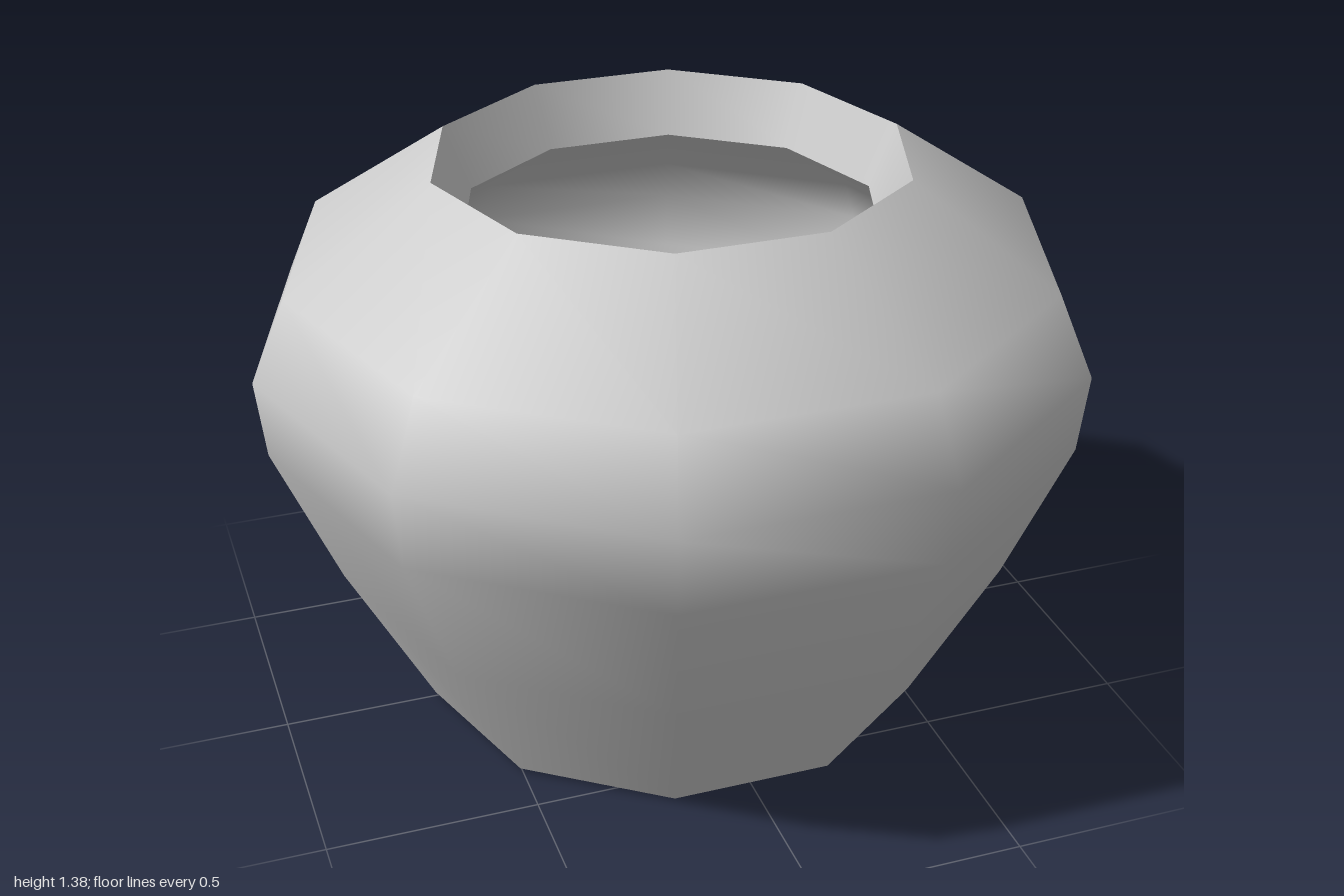
import * as THREE from 'three';

const SIDES = 10;
const material = new THREE.MeshStandardMaterial({ color: 0xcccccc });

// Turn a [radius, height] profile into a ten-sided shell with a corner on +x.
function turned(name, profile) {
  const points = profile.map(([r, y]) => new THREE.Vector2(r, y));
  const mesh = new THREE.Mesh(new THREE.LatheGeometry(points, SIDES, Math.PI / 2), material);
  mesh.name = name;
  return mesh;
}

export function createModel() {
  const pot = new THREE.Group();
  pot.name = 'pot';
  pot.add(
    // Underside, with a barely raised outer band
    turned('base', [[0, 0], [0.4, 0], [0.625, 0.01]]),
    // Smooth swelling body up to the sharp rim
    turned('outerWall', [[0.625, 0.01], [0.83, 0.4], [0.98, 0.76], [1, 0.95], [0.915, 1.145], [0.565, 1.38]]),
    // Sloping lip through the wall thickness
    turned('lip', [[0.565, 1.38], [0.5, 1.23]]),
    // Hollow interior following the body
    turned('innerWall', [[0.5, 1.23], [0.8, 1.03], [0.85, 0.92], [0.83, 0.78], [0.69, 0.44], [0.53, 0.14]]),
    turned('innerFloor', [[0.53, 0.14], [0, 0.14]])
  );
  return pot;
}
